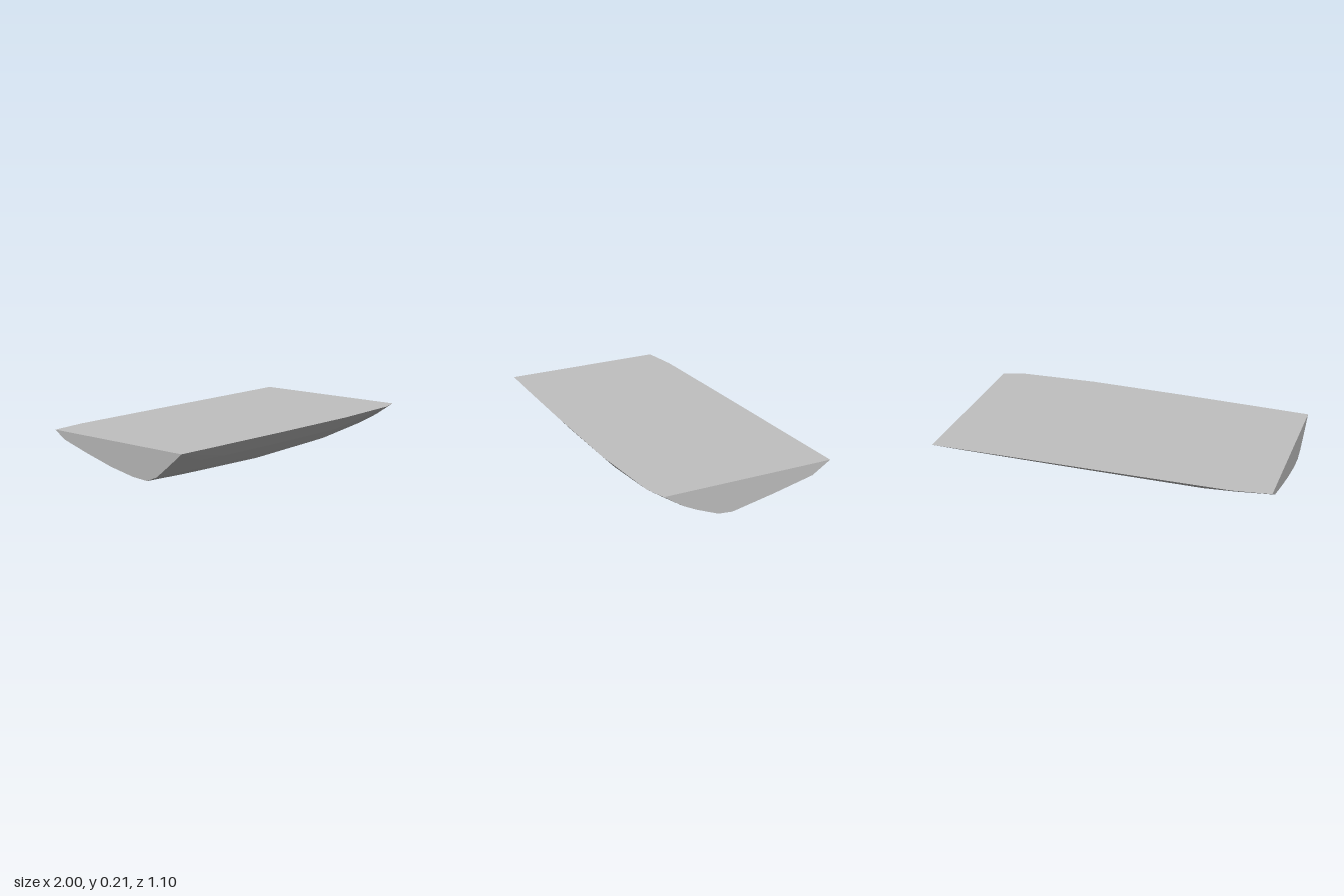
import * as THREE from 'three';
import { ConvexGeometry } from 'three/addons/geometries/ConvexGeometry.js';

export function createModel() {
  const model = new THREE.Group();
  model.name = 'slab';
  const stone = new THREE.MeshStandardMaterial({ color: 0xc0c0c0 });
  stone.name = 'light grey';

  // Cross-sections along x; each is a list of [z, y] from the front rim, under the belly, to the back rim
  const TOP = 0.21;
  const sections = [
    { x: -1, p: [[0.545, TOP], [0.455, 0.135], [0.364, 0.062], [0.29, 0.03], [0.183, 0.036], [0.013, 0.065], [-0.18, 0.112], [-0.37, 0.164], [-0.445, TOP]] },
    { x: -0.78, p: [[0.547, TOP], [0.468, 0.132], [0.388, 0.066], [0.325, 0.033], [0.225, 0.016], [0.06, 0.035], [-0.16, 0.085], [-0.395, 0.155], [-0.48, TOP]] },
    { x: -0.6, p: [[0.548, TOP], [0.475, 0.13], [0.4, 0.07], [0.34, 0.035], [0.25, 0.006], [0.1, 0.012], [-0.15, 0.07], [-0.41, 0.15], [-0.487, TOP]] },
    { x: -0.2, p: [[0.55, TOP], [0.48, 0.13], [0.41, 0.07], [0.36, 0.035], [0.24, 0.005], [0.1, 0], [-0.17, 0.07], [-0.415, 0.145], [-0.505, TOP]] },
    { x: 0.4, p: [[0.545, TOP], [0.47, 0.13], [0.38, 0.065], [0.29, 0.03], [0.2, 0.012], [0.09, 0.006], [-0.19, 0.07], [-0.43, 0.143], [-0.528, TOP]] },
    { x: 0.88, p: [[0.51, TOP], [0.4, 0.135], [0.31, 0.085], [0.22, 0.05], [0.155, 0.03], [0.07, 0.026], [-0.21, 0.083], [-0.438, 0.14], [-0.547, TOP]] },
    { x: 1, p: [[0.47, TOP], [0.36, 0.135], [0.28, 0.095], [0.2, 0.062], [0.145, 0.04], [0.06, 0.033], [-0.2, 0.085], [-0.44, 0.14], [-0.552, TOP]] },
  ];

  // Faceted convex body with a flat top and flat ends
  const points = sections.flatMap(({ x, p }) => p.map(([z, y]) => new THREE.Vector3(x, y, z)));
  const body = new THREE.Mesh(new ConvexGeometry(points), stone);
  body.name = 'slabBody';
  model.add(body);
  return model;
}
